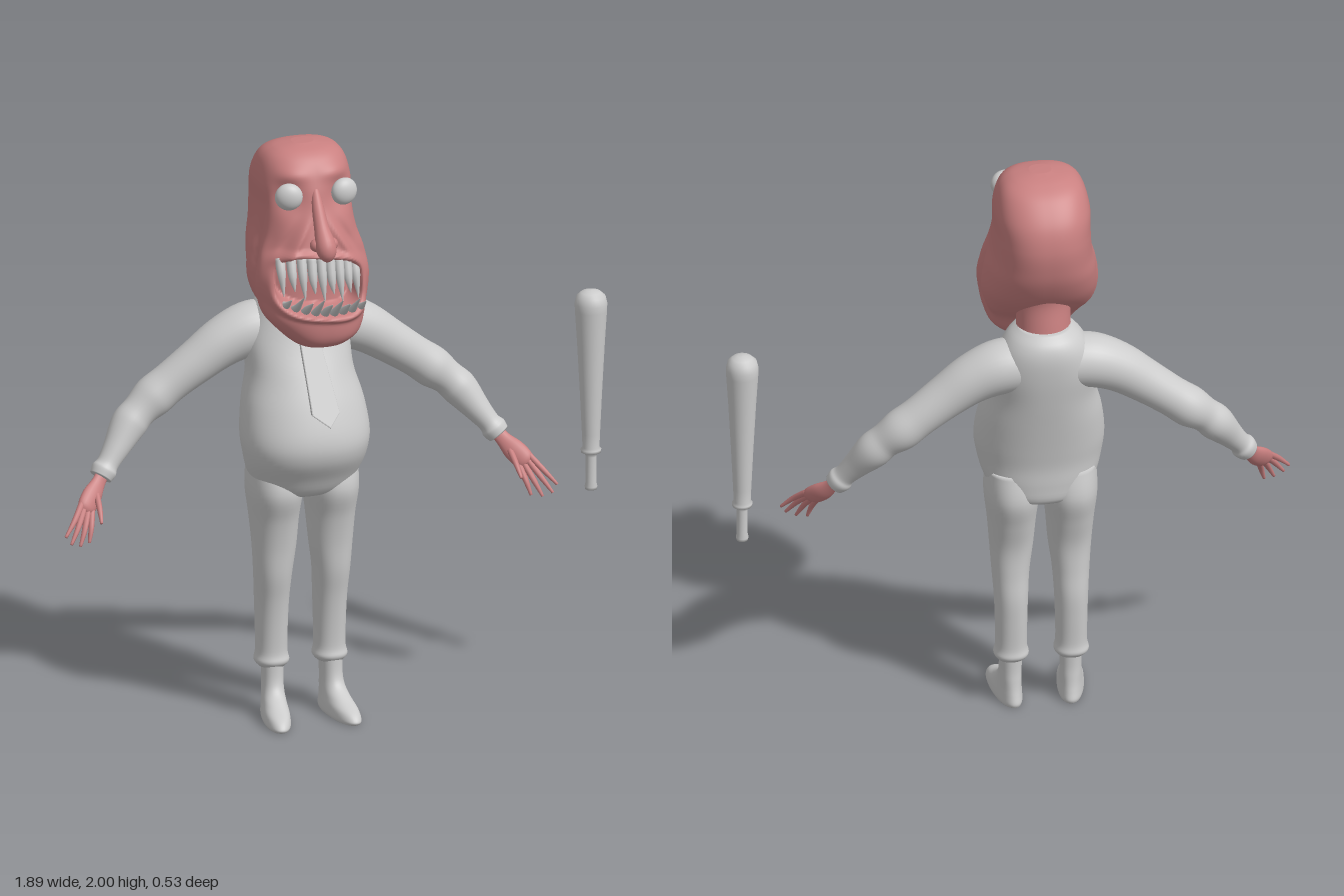
import * as THREE from 'three';

const grey = new THREE.MeshStandardMaterial({ color: 0xcccccc });
const skin = new THREE.MeshStandardMaterial({ color: 0xc98080 });

// Catmull-Rom interpolation of rows of numbers, t in 0..1
function sample(rows, t) {
  const f = t * (rows.length - 1), i = Math.min(Math.floor(f), rows.length - 2), u = f - i;
  const at = k => rows[Math.max(0, Math.min(rows.length - 1, k))];
  return rows[0].map((_, k) => {
    const a = at(i - 1)[k], b = at(i)[k], c = at(i + 1)[k], d = at(i + 2)[k];
    return 0.5 * (2 * b + (c - a) * u + (2 * a - 5 * b + 4 * c - d) * u * u + (3 * b - a - 3 * c + d) * u ** 3);
  });
}

// Smooth closed skin over rings; ring(i) returns a function of the angle
function skinRings(count, sides, ring) {
  const pos = [], idx = [];
  for (let i = 0; i < count; i++) {
    const point = ring(i);
    for (let j = 0; j < sides; j++) {
      pos.push(...point(j / sides * Math.PI * 2));
      if (i < count - 1) {
        const a = i * sides + j, b = i * sides + (j + 1) % sides;
        idx.push(a, b, b + sides, a, b + sides, a + sides);
      }
    }
  }
  const g = new THREE.BufferGeometry();
  g.setAttribute('position', new THREE.Float32BufferAttribute(pos, 3));
  g.setIndex(idx);
  g.computeVertexNormals();
  return g;
}

// Upright body of rows [y, centreX, frontZ, backZ, halfWidth], capped at both ends
function loft(rows, { steps = 48, sides = 48, power = 2.2, rule = p => p } = {}) {
  const bend = v => Math.sign(v) * Math.abs(v) ** (2 / power);
  return skinRings(steps + 3, sides, i => {
    const t = Math.min(1, Math.max(0, (i - 1) / steps));
    const [y, cx, zf, zb, rx] = sample(rows, t);
    const k = i === 0 || i === steps + 2 ? 0 : 1;
    return a => rule([cx + bend(Math.sin(a)) * rx * k, y, (zf + zb) / 2 + bend(Math.cos(a)) * (zf - zb) / 2 * k]);
  });
}

// Limb along rows [x, y, z, radius], capped; flat squeezes one axis
function limb(rows, { steps = 20, sides = 12, flat = 1 } = {}) {
  return skinRings(steps + 3, sides, i => {
    const t = Math.min(1, Math.max(0, (i - 1) / steps));
    const [x, y, z, r0] = sample(rows, t);
    const a0 = sample(rows, Math.max(0, t - 0.02)), a1 = sample(rows, Math.min(1, t + 0.02));
    const dir = new THREE.Vector3(a1[0] - a0[0], a1[1] - a0[1], a1[2] - a0[2]).normalize();
    const u = dir.clone().cross(new THREE.Vector3(0, 0, 1)).normalize();
    const v = u.clone().cross(dir);
    const r = i === 0 || i === steps + 2 ? 0 : Math.max(0, r0);
    return a => {
      const s = Math.sin(a) * r, c = Math.cos(a) * r * flat;
      return [x + u.x * s + v.x * c, y + u.y * s + v.y * c, z + u.z * s + v.z * c];
    };
  });
}

// Face sculpting: mouth hollow, lips, cheek folds and eye sockets
function sculptFace([x, y, z]) {
  const front = THREE.MathUtils.smoothstep(z, 0.0, 0.07);
  const ym = y + 0.12 * x - 1.56, ax = Math.abs(x);
  const d = (Math.abs(x / 0.152) ** 3 + Math.abs(ym / 0.098) ** 3) ** (1 / 3);
  const bump = (v, w) => Math.exp(-((v / w) ** 2));
  let dz = -0.1 * (1 - THREE.MathUtils.smoothstep(d, 0.84, 1));
  dz += 0.018 * bump(d - 1.1, 0.1);
  const fold = ax - 0.045 - (1.76 - y) * 0.6;
  dz += (0.014 * bump(fold, 0.016) - 0.012 * bump(fold - 0.03, 0.018)) * bump(y - 1.7, 0.07);
  dz -= 0.025 * bump(Math.hypot(ax - 0.09, y - 1.85), 0.05);
  dz += 0.012 * bump(y - 1.925, 0.025) * bump(ax - 0.08, 0.06);
  // vertical jowl folds on the sides
  const side = THREE.MathUtils.smoothstep(ax, 0.1, 0.16) * bump(y - 1.58, 0.13);
  const dx = side * (0.012 * bump(z - 0.06, 0.025) - 0.014 * bump(z - 0.01, 0.02) + 0.008 * bump(z + 0.04, 0.025));
  return [x + Math.sign(x) * dx, y, z + dz * front];
}

export function createModel() {
  const model = new THREE.Group();
  const figure = new THREE.Group();
  figure.name = 'figure';
  figure.position.x = -0.1;
  model.add(figure);
  const add = (name, geo, mat = grey, parent = figure) => {
    const m = new THREE.Mesh(geo, mat);
    m.name = name;
    parent.add(m);
    return m;
  };

  // Torso with round belly
  add('torso', loft([
    [0.775, 0, 0.02, -0.12, 0.06], [0.80, 0, 0.07, -0.175, 0.15], [0.86, 0, 0.105, -0.185, 0.187],
    [0.93, 0, 0.145, -0.188, 0.207], [1.0, 0, 0.152, -0.2, 0.215], [1.1, 0, 0.12, -0.22, 0.203],
    [1.2, 0, 0.073, -0.24, 0.178], [1.3, 0, 0.02, -0.257, 0.175], [1.38, 0, -0.01, -0.262, 0.15],
    [1.43, 0, -0.02, -0.248, 0.12], [1.46, 0, -0.035, -0.215, 0.085]]));

  // Tie lying down the chest
  const tie = new THREE.Shape([[-0.026, 1.33], [-0.012, 1.345], [0.025, 1.345], [0.035, 1.32], [0.07, 1.1],
    [0.035, 1.06], [-0.018, 1.1]].map(p => new THREE.Vector2(...p)));
  const tieGeo = new THREE.ExtrudeGeometry(tie, { depth: 0.014, bevelSize: 0.004, bevelThickness: 0.004, bevelSegments: 2 });
  const tp = tieGeo.attributes.position;
  for (let i = 0; i < tp.count; i++) tp.setZ(i, tp.getZ(i) + 0.135 - (tp.getY(i) - 1.06) * 0.5);
  tieGeo.computeVertexNormals();
  add('tie', tieGeo);

  // Neck and head
  add('neck', limb([[0, 1.38, -0.12, 0.1], [0, 1.46, -0.115, 0.09], [0, 1.56, -0.1, 0.095], [0, 1.68, -0.1, 0.12]],
    { sides: 32 }), skin);
  add('head', loft([
    [1.335, 0.02, 0.12, 0.04, 0.03], [1.345, 0.02, 0.155, 0.0, 0.08], [1.38, 0.02, 0.178, -0.03, 0.128],
    [1.44, 0.005, 0.185, -0.06, 0.165], [1.5, 0, 0.18, -0.13, 0.18], [1.57, 0, 0.178, -0.195, 0.187],
    [1.65, 0, 0.168, -0.242, 0.18], [1.72, 0, 0.15, -0.264, 0.165], [1.8, 0, 0.125, -0.271, 0.158],
    [1.88, 0, 0.105, -0.25, 0.157], [1.95, 0, 0.07, -0.195, 0.138], [1.985, 0, 0.03, -0.135, 0.1],
    [2.0, 0, -0.02, -0.08, 0.035]], { steps: 120, sides: 144, power: 2.5, rule: sculptFace }), skin);

  // Long drooping nose with nostril wings
  add('nose', limb([[0, 1.88, 0.09, 0.012], [0, 1.82, 0.125, 0.02], [0.002, 1.76, 0.16, 0.025], [0.006, 1.71, 0.192, 0.034],
    [0.008, 1.68, 0.198, 0.028], [0.008, 1.665, 0.19, 0.008]], { sides: 24 }), skin);
  for (const s of [-1, 1]) {
    const wing = add('nostril', new THREE.SphereGeometry(0.022, 16, 12), skin);
    wing.position.set(0.006 + s * 0.026, 1.71, 0.172);
    // Bulging eyes
    const eye = add('eye', new THREE.SphereGeometry(0.046, 32, 24));
    eye.scale.z = 0.65;
    eye.rotation.y = s * 0.25;
    eye.position.set(s * 0.095, 1.865, 0.108);
  }

  // Jagged teeth
  const teeth = new THREE.Group();
  teeth.name = 'teeth';
  figure.add(teeth);
  for (let i = 0; i < 9; i++) {
    const x = (i - 4) * 0.032, z = 0.165 - 2.6 * x * x, tilt = -0.12 * x, odd = i % 2;
    add('upperTooth', limb([[x, 1.66 + tilt - 1.2 * x * x, z - 0.01, 0.017], [x, 1.59 + tilt, z + 0.012, 0.014],
      [x + 0.006, 1.515 + tilt + odd * 0.025, z + 0.02, 0.0015]], { steps: 8, sides: 10 }), grey, teeth);
    add('lowerTooth', limb([[x + 0.01, 1.455 + tilt + 1.2 * x * x, z - 0.01, 0.014], [x + 0.01, 1.49 + tilt, z + 0.035, 0.012],
      [x + 0.012, 1.525 + tilt + odd * 0.02, z + 0.085 + odd * 0.015, 0.0015]], { steps: 8, sides: 10 }), grey, teeth);
  }

  for (const s of [-1, 1]) {
    const side = s > 0 ? 'left' : 'right';
    const mirror = rows => rows.map(([x, ...rest]) => [x * s, ...rest]);

    // Sleeve with elbow folds and cuff
    add(side + 'Arm', limb(mirror([
      [0.06, 1.325, -0.15, 0.09], [0.15, 1.32, -0.15, 0.092], [0.24, 1.285, -0.15, 0.083], [0.33, 1.225, -0.152, 0.073],
      [0.42, 1.16, -0.157, 0.067], [0.48, 1.115, -0.157, 0.069], [0.53, 1.075, -0.148, 0.058], [0.57, 1.035, -0.138, 0.06],
      [0.62, 0.97, -0.11, 0.045], [0.655, 0.925, -0.092, 0.037], [0.67, 0.905, -0.085, 0.043], [0.685, 0.885, -0.077, 0.038]]),
    { steps: 60, sides: 32 }));

    // Hand
    const hand = new THREE.Group();
    hand.name = side + 'Hand';
    figure.add(hand);
    add('palm', limb(mirror([[0.67, 0.905, -0.085, 0.024], [0.695, 0.872, -0.065, 0.025], [0.725, 0.838, -0.04, 0.036],
      [0.752, 0.81, -0.015, 0.034], [0.762, 0.798, -0.006, 0.022]]), { sides: 20, flat: 0.55 }), skin, hand);
    const fingers = [
      [[0.768, 0.825, -0.015], [0.845, 0.737, 0.055]], [[0.762, 0.81, -0.01], [0.828, 0.712, 0.062]],
      [[0.75, 0.798, -0.008], [0.795, 0.7, 0.055]], [[0.735, 0.795, -0.012], [0.76, 0.703, 0.04]],
      [[0.71, 0.845, -0.045], [0.722, 0.772, 0.055]]];
    fingers.forEach(([a, b], i) => {
      const mid = a.map((v, k) => (v + b[k]) / 2 + (k === 2 ? 0.008 : 0));
      add(i < 4 ? 'finger' : 'thumb', limb(mirror([[...a, 0.011], [...mid, 0.0095], [...b, 0.005]]),
        { steps: 10, sides: 10 }), skin, hand);
    });

    // Trouser leg gathered at the hem
    add(side + 'Leg', loft([
      [0.172, 0.1, -0.02, -0.115, 0.046], [0.19, 0.1, -0.008, -0.13, 0.058], [0.225, 0.1, -0.014, -0.126, 0.052],
      [0.32, 0.1, -0.008, -0.132, 0.053], [0.41, 0.1, 0.003, -0.136, 0.056], [0.5, 0.1, 0.02, -0.13, 0.062],
      [0.6, 0.097, 0.03, -0.132, 0.072], [0.7, 0.097, 0.048, -0.157, 0.08], [0.8, 0.097, 0.075, -0.183, 0.09],
      [0.9, 0.097, 0.05, -0.165, 0.085]].map(([y, cx, ...r]) => [y, cx * s, ...r])));

    // Shoe, toes turned slightly out
    const shoe = add(side + 'Shoe', loft([
      [0.0, 0, 0.2, -0.058, 0.042], [0.012, 0, 0.205, -0.062, 0.045], [0.035, 0, 0.18, -0.056, 0.044],
      [0.06, 0, 0.12, -0.05, 0.04], [0.09, 0, 0.07, -0.046, 0.037], [0.13, 0, 0.05, -0.043, 0.036],
      [0.2, 0, 0.045, -0.045, 0.038]], { steps: 30 }));
    shoe.position.set(s * 0.1, 0, -0.06);
    shoe.rotation.y = s * 0.14;
  }

  // Bat standing in the air beside the figure
  const bat = add('bat', new THREE.LatheGeometry([
    [0, 0.675], [0.019, 0.675], [0.021, 0.685], [0.018, 0.7], [0.018, 0.79], [0.021, 0.803], [0.033, 0.805], [0.034, 0.815],
    [0.028, 0.822], [0.03, 0.87], [0.037, 1.02], [0.046, 1.19], [0.053, 1.3], [0.054, 1.325], [0.048, 1.35], [0.033, 1.364],
    [0.015, 1.37], [0, 1.371]].map(p => new THREE.Vector2(...p)), 32), grey, model);
  bat.position.set(0.888, 0, -0.032);
  return model;
}
